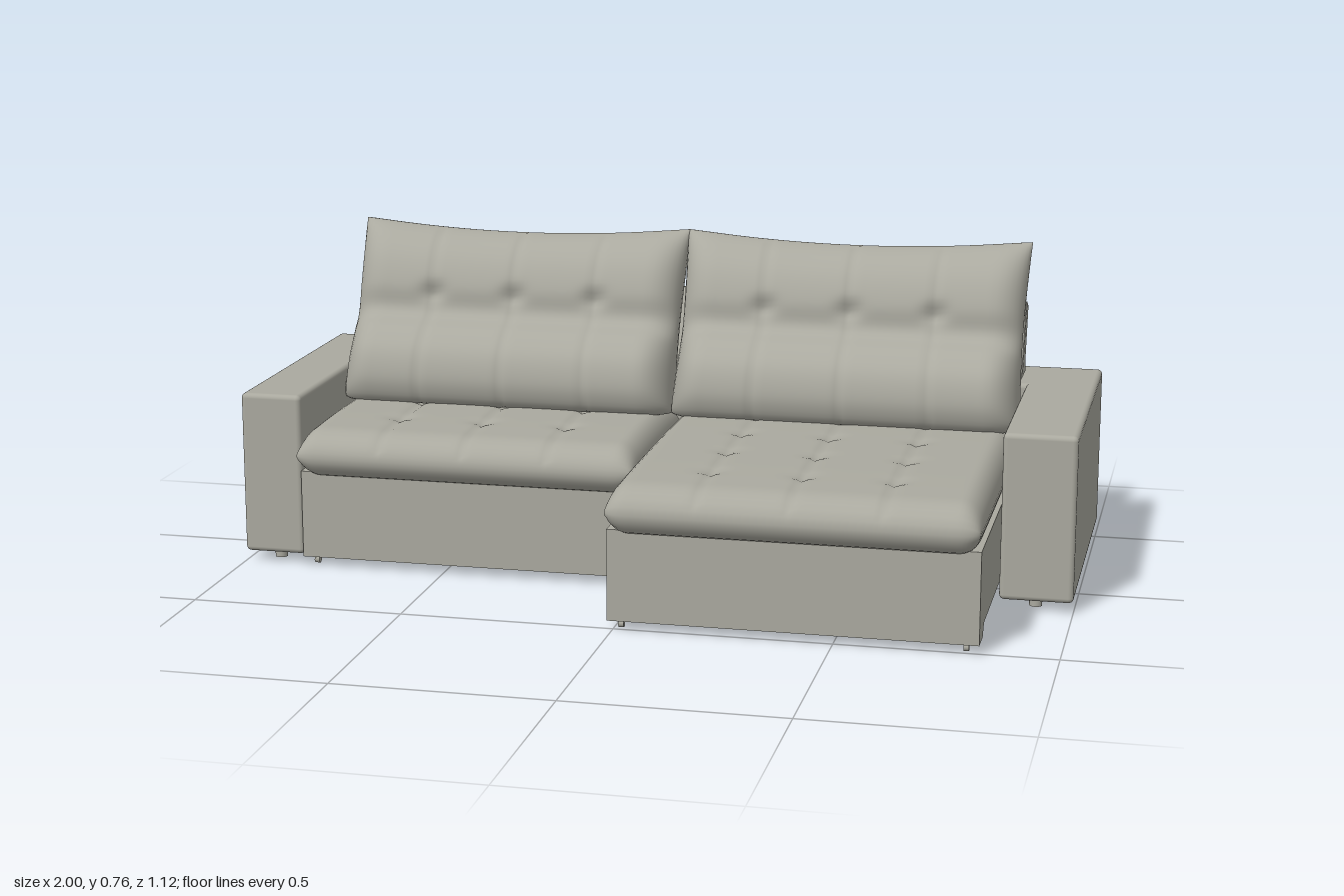
import * as THREE from 'three';
import { RoundedBoxGeometry } from 'three/addons/geometries/RoundedBoxGeometry.js';

const fabric = new THREE.MeshStandardMaterial({ color: 0xaaa99f });
fabric.name = 'greyUpholstery';

function add(parent, name, geometry, x = 0, y = 0, z = 0) {
  const mesh = new THREE.Mesh(geometry, fabric);
  mesh.name = name;
  mesh.position.set(x, y, z);
  parent.add(mesh);
  return mesh;
}

// Rounded box given by its limits
function slab(parent, name, [x0, x1], [y0, y1], [z0, z1], r) {
  const g = new RoundedBoxGeometry(x1 - x0, y1 - y0, z1 - z0, 3, r);
  return add(parent, name, g, (x0 + x1) / 2, (y0 + y1) / 2, (z0 + z1) / 2);
}

// Side profile of [z, y] points extruded across x
function acrossX(points, x0, x1, bevel = 0) {
  const shape = new THREE.Shape(points.map(([z, y]) => new THREE.Vector2(-z, y)));
  const g = new THREE.ExtrudeGeometry(shape, { depth: x1 - x0 - 2 * bevel, bevelEnabled: bevel > 0,
    bevelThickness: bevel, bevelSize: bevel, bevelOffset: -bevel, bevelSegments: 2 });
  return g.rotateY(Math.PI / 2).translate(x0 + bevel, 0, 0);
}

const bump = (d, width) => Math.exp(-((d / width) ** 2));

// Stuffed cushion: a [z, y] profile that closes onto its seam at both ends,
// with stitched channels at the quarters and pulled tufts along them
function cushion({ profile, seam, x0, x1, edge, corner, pinch, sag, tufts, tuftDepth }) {
  const curve = new THREE.CatmullRomCurve3(
    profile.map(([z, y]) => new THREE.Vector3(0, y, z)), true, 'centripetal');
  const loop = curve.getSpacedPoints(96).slice(0, 96);
  const [[sz, sy], [ez, ey]] = seam;
  const len = Math.hypot(ez - sz, ey - sy), dz = (ez - sz) / len, dy = (ey - sy) / len;
  const width = x1 - x0, mid = (x0 + x1) / 2;

  // Section stations, denser at the rounded ends
  const stations = [];
  for (let i = 0; i < 8; i++) stations.push(edge * (1 - Math.cos(i / 8 * Math.PI / 2)));
  for (let i = 0; i <= 64; i++) stations.push(edge + (width - 2 * edge) * i / 64);
  for (let i = 7; i >= 0; i--) stations.push(width - stations[i]);

  const pos = [], index = [], n = loop.length;
  stations.forEach((s, i) => {
    const d = Math.min(s, width - s, edge);
    const full = Math.sqrt(Math.max(0, 1 - (1 - d / edge) ** 2));
    const u = s / width * 2 - 1;
    const channel = Math.min(...[0.25, 0.5, 0.75].map(q => Math.abs(s - q * width)));
    loop.forEach((p, j) => {
      const along = THREE.MathUtils.clamp((p.z - sz) * dz + (p.y - sy) * dy, 0, len);
      const t = along / len;
      const oz = p.z - sz - dz * along, oy = p.y - sy - dy * along;
      const off = Math.hypot(oz, oy) || 1;
      let dent = 0;
      if (dz * oy - dy * oz < -0.02) {
        dent = 0.006 * bump(channel, 0.009);
        for (const k of tufts)
          dent += tuftDepth * bump(channel, 0.03) * bump((t - k) * len, 0.022);
      }
      const scale = full * (1 - Math.min(dent / off, 0.5));
      const foot = len / 2 + (along - len / 2) * (1 - corner * (1 - full));
      pos.push(
        mid + u * width / 2 * (1 - pinch * Math.sin(Math.PI * t)),
        sy + dy * foot + oy * scale - sag * (1 - u * u) * t ** 4,
        sz + dz * foot + oz * scale);
      if (i < stations.length - 1) {
        const a = i * n + j, d2 = i * n + (j + 1) % n;
        index.push(a, a + n, d2 + n, a, d2 + n, d2);
      }
    });
  });
  const g = new THREE.BufferGeometry();
  g.setAttribute('position', new THREE.Float32BufferAttribute(pos, 3));
  g.setIndex(index);
  g.computeVertexNormals();
  return g;
}

function seatCushion(x0, x1, front) {
  const back = -0.33, len = front - back;
  return cushion({
    profile: [[front, 0.28], [front - 0.012, 0.31], [front - 0.05, 0.335], [front - 0.12, 0.342],
      [back + 0.1, 0.342], [back + 0.03, 0.33], [back, 0.28], [back + 0.03, 0.23],
      [back + 0.1, 0.222], [front - 0.12, 0.222], [front - 0.045, 0.228], [front - 0.01, 0.252]],
    seam: [[front - 0.004, 0.28], [back, 0.28]], x0, x1, edge: 0.05, corner: 0.05, pinch: 0, sag: 0,
    tufts: [0.195, 0.375, 0.555].map(v => v / len), tuftDepth: 0.008 });
}

function backCushion(x0, x1) {
  return cushion({
    profile: [[-0.13, 0.345], [-0.108, 0.39], [-0.11, 0.435], [-0.13, 0.482], [-0.177, 0.524],
      [-0.218, 0.544], [-0.236, 0.563], [-0.243, 0.62], [-0.28, 0.695], [-0.337, 0.746],
      [-0.393, 0.762], [-0.42, 0.74], [-0.441, 0.69], [-0.426, 0.612], [-0.378, 0.516],
      [-0.312, 0.42], [-0.26, 0.345], [-0.2, 0.335]],
    seam: [[-0.2, 0.34], [-0.393, 0.76]], x0, x1, edge: 0.08, corner: 0, pinch: 0.02, sag: 0.025,
    tufts: [0.56], tuftDepth: 0.02 });
}

// One sliding seat with its base, cushions and head support
function seatUnit(name, x0, x1, front) {
  const unit = new THREE.Group();
  unit.name = name;
  const f = front - 0.045, b = Math.max(-0.36, f - 0.58);
  add(unit, 'seatBase', acrossX([[f, 0.022], [f, 0.235], [b, 0.235], [b, 0.05],
    [f - 0.085, 0.05], [f - 0.065, 0.022]], x0, x1));
  add(unit, 'seatCushion', seatCushion(x0, x1, front));
  add(unit, 'backCushion', backCushion(x0 - 0.008, x1 + 0.008));
  add(unit, 'headSupport', acrossX([[-0.424, 0.595], [-0.432, 0.605], [-0.455, 0.603],
    [-0.469, 0.594], [-0.468, 0.575], [-0.436, 0.47], [-0.442, 0.425], [-0.355, 0.425],
    [-0.375, 0.475]], x0 + 0.005, x1 - 0.005, 0.008));
  // Small casters under the front corners
  for (const x of [x0 + 0.03, x1 - 0.03])
    add(unit, 'caster', new THREE.CylinderGeometry(0.009, 0.009, 0.012, 12).rotateZ(Math.PI / 2),
      x, 0.012, f - 0.02);
  return unit;
}

export function createModel() {
  const sofa = new THREE.Group();
  sofa.name = 'sofa';

  // Fixed frame: arms and a back in two halves
  const frame = new THREE.Group();
  frame.name = 'frame';
  sofa.add(frame);
  slab(frame, 'rightArm', [-1, -0.85], [0.025, 0.418], [-0.56, 0.17], 0.012);
  slab(frame, 'leftArm', [0.83, 1], [0.025, 0.418], [-0.56, 0.17], 0.012);
  slab(frame, 'rightBack', [-0.98, -0.012], [0.025, 0.418], [-0.56, -0.345], 0.012);
  slab(frame, 'leftBack', [-0.008, 0.98], [0.025, 0.418], [-0.56, -0.345], 0.012);

  // Feet under the arms
  for (const x of [-0.93, 0.91])
    for (const z of [0.11, -0.47])
      add(frame, 'foot', new THREE.CylinderGeometry(0.015, 0.015, 0.03, 20), x, 0.015, z);

  // Closed seat and pulled-out seat
  sofa.add(seatUnit('rightSeat', -0.85, -0.022, 0.22));
  sofa.add(seatUnit('leftSeat', -0.012, 0.825, 0.556));
  return sofa;
}
